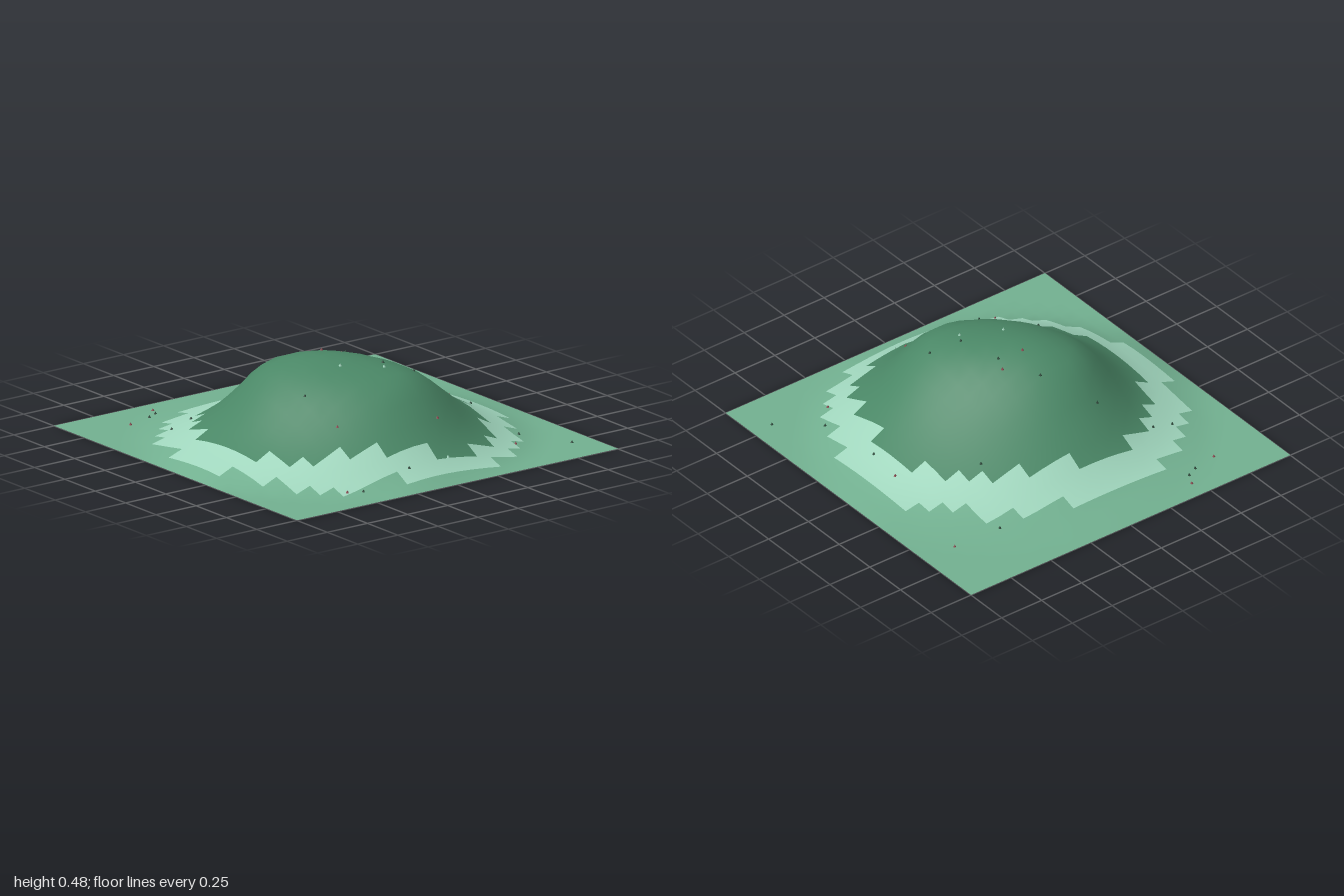
import * as THREE from 'three';

const N = 24;
// Contours of the hill: height, centre x, centre z, radius x, radius z, diagonal skew
const LEVELS = [
  [0.48, -0.13, 0.06, 0.01, 0.01, 0],
  [0.47, -0.12, 0.06, 0.11, 0.11, 0.4],
  [0.44, -0.09, 0.10, 0.22, 0.24, 0.5],
  [0.40, -0.09, 0.14, 0.32, 0.37, 0.42],
  [0.30, -0.075, 0.145, 0.445, 0.465, 0.25],
  [0.20, -0.06, 0.125, 0.56, 0.575, 0.1],
  [0.11, -0.045, 0.11, 0.70, 0.69, 0],
  [0.035, -0.045, 0.085, 0.875, 0.835, 0],
  [0, 0, 0, 1, 1, 0],
];
// Cell spans [first, end) per grid row for the two upper zones
const FOREST = [[8, 12], [6, 15], [5, 17], [4, 18], [4, 19], [3, 19], [3, 20], [3, 20], [3, 20],
  [3, 20], [3, 19], [4, 19], [4, 19], [5, 18], [7, 18], [9, 17], [12, 15]];
const BAND = [[7, 14], [5, 17], [4, 19], [3, 19], [2, 20], [2, 21], [2, 22], [1, 22], [1, 22], [1, 22],
  [1, 22], [1, 22], [2, 22], [2, 21], [2, 21], [3, 20], [3, 20], [4, 19], [5, 18], [9, 16]];
const inside = (spans, first, row, col) => {
  const s = spans[row - first];
  return !!s && col >= s[0] && col < s[1];
};

// Signed distance (roughly) from a skewed elliptical contour
function distance([, cx, cz, rx, rz, k], x, z) {
  const u = (x - cx) / rx, v = (z - cz) / rz;
  const q = Math.sqrt((u * u - 2 * k * u * v + v * v) / (1 - k * k));
  return (q - 1) * (rx + rz) / 2;
}

function rawHeight(x, z) {
  let previous = null;
  for (const level of LEVELS) {
    const d = distance(level, x, z);
    if (d <= 0) {
      if (!previous) return level[0];
      const t = previous.d / (previous.d - d || 1);
      return previous.h + (level[0] - previous.h) * t;
    }
    previous = { d, h: level[0] };
  }
  return 0;
}

// Height grid with one light smoothing pass
function makeHeights() {
  const raw = [];
  for (let j = 0; j <= N; j++) {
    raw.push([]);
    for (let i = 0; i <= N; i++) raw[j].push(rawHeight(-1 + 2 * i / N, -1 + 2 * j / N));
  }
  return raw.map((row, j) => row.map((h, i) => {
    if (i === 0 || j === 0 || i === N || j === N) return 0;
    const mean = (raw[j - 1][i] + raw[j + 1][i] + row[i - 1] + row[i + 1]) / 4;
    return h * 0.65 + mean * 0.35;
  }));
}

function heightAt(H, x, z) {
  const a = (x + 1) * N / 2, b = (z + 1) * N / 2;
  const i = Math.min(N - 1, Math.floor(a)), j = Math.min(N - 1, Math.floor(b));
  const s = a - i, t = b - j;
  return (H[j][i] * (1 - s) + H[j][i + 1] * s) * (1 - t) + (H[j + 1][i] * (1 - s) + H[j + 1][i + 1] * s) * t;
}

export function createModel() {
  const model = new THREE.Group();
  model.name = 'hillTerrain';
  const material = (name, color, side = THREE.FrontSide) => {
    const m = new THREE.MeshStandardMaterial({ color, side });
    m.name = name;
    return m;
  };
  const zones = [
    material('meadowGreen', 0x72b090, THREE.DoubleSide),
    material('paleGreen', 0xa0d6bd, THREE.DoubleSide),
    material('forestGreen', 0x4a8766, THREE.DoubleSide),
  ];
  const red = material('dullRed', 0x8a4a50);
  const dark = material('darkGreen', 0x2c4a3a);

  // Terrain sheet: shared vertices for smooth shading, one group per zone
  const H = makeHeights();
  const ground = new THREE.BufferGeometry();
  const positions = [], cells = [[], [], []];
  for (let j = 0; j <= N; j++) {
    for (let i = 0; i <= N; i++) positions.push(-1 + 2 * i / N, H[j][i], -1 + 2 * j / N);
  }
  for (let j = 0; j < N; j++) {
    for (let i = 0; i < N; i++) {
      const zone = inside(FOREST, 5, j, i) ? 2 : inside(BAND, 3, j, i) ? 1 : 0;
      const a = j * (N + 1) + i, b = a + 1, c = a + N + 1, d = c + 1;
      cells[zone].push(a, c, b, b, c, d);
    }
  }
  ground.setAttribute('position', new THREE.Float32BufferAttribute(positions, 3));
  ground.setIndex(cells.flat());
  let start = 0;
  cells.forEach((list, zone) => {
    ground.addGroup(start, list.length, zone);
    start += list.length;
  });
  ground.computeVertexNormals();
  const terrain = new THREE.Mesh(ground, zones);
  terrain.name = 'terrain';
  model.add(terrain);

  // Tiny plants scattered on the slopes
  const scatter = (name, mat, spots) => {
    const group = new THREE.Group();
    group.name = name;
    const shape = new THREE.ConeGeometry(0.009, 0.014, 5);
    for (const [x, z] of spots) {
      const plant = new THREE.Mesh(shape, mat);
      plant.name = 'plant';
      plant.position.set(x, heightAt(H, x, z) + 0.006, z);
      group.add(plant);
    }
    model.add(group);
  };
  scatter('redPlants', red, [[-0.46, -0.9], [-0.69, -0.78], [0.81, -0.62], [0.05, -0.02], [-0.09, 0],
    [-0.37, 0.5], [0.14, 0.65], [0.59, 0.7], [-0.55, 0.82], [0.73, -0.03]]);
  scatter('darkPlants', dark, [[-0.49, -0.84], [-0.55, -0.81], [0.55, -0.65], [-0.66, -0.48], [-0.54, -0.48],
    [-0.29, -0.35], [0.4, -0.3], [-0.08, -0.16], [0.03, 0.04], [0.71, 0.17], [-0.39, 0.26], [0.08, 0.28],
    [0.22, 0.35], [0.7, 0.58], [-0.48, 0.86], [-0.18, 0.84], [0.88, 0.78]]);
  scatter('palePlants', zones[1], [[-0.14, 0.22], [0.05, 0.33], [0.07, 0.83]]);
  return model;
}
